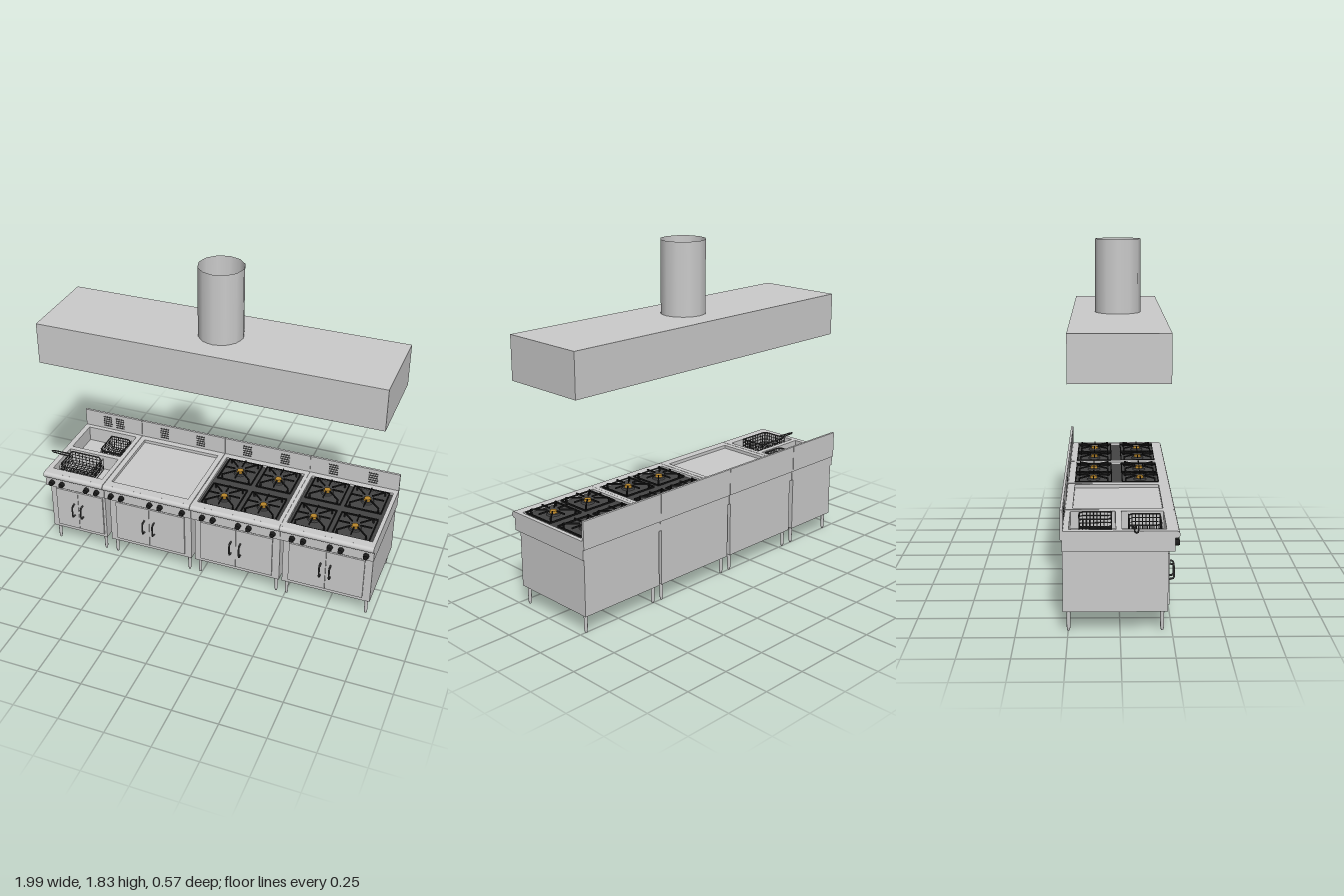
import * as THREE from 'three';

const mat = (color, side = THREE.FrontSide) => new THREE.MeshStandardMaterial({ color, side });
const steel = mat(0xcccccc);
const thinSteel = mat(0xcccccc, THREE.DoubleSide);
const black = mat(0x1a1a1a);
const iron = mat(0x444444);
const brass = mat(0xb8862b);

function add(parent, name, geometry, material, x = 0, y = 0, z = 0) {
  const mesh = new THREE.Mesh(geometry, material);
  mesh.name = name;
  mesh.position.set(x, y, z);
  parent.add(mesh);
  return mesh;
}

// Box given by its limits on each axis
function block(parent, name, x0, x1, y0, y1, z0, z1, material = steel) {
  return add(parent, name, new THREE.BoxGeometry(x1 - x0, y1 - y0, z1 - z0), material,
    (x0 + x1) / 2, (y0 + y1) / 2, (z0 + z1) / 2);
}

// Outline of a rectangle in plan, drawn with -z as the shape's y
const outline = ([x0, x1, z0, z1]) =>
  [[x0, -z1], [x1, -z1], [x1, -z0], [x0, -z0]].map(([x, y]) => new THREE.Vector2(x, y));

// Horizontal plate pierced by a list of hole paths
function plate(parent, name, limits, y0, y1, holes) {
  const shape = new THREE.Shape(outline(limits));
  shape.holes = holes;
  const g = new THREE.ExtrudeGeometry(shape, { depth: y1 - y0, bevelEnabled: false, curveSegments: 12 });
  return add(parent, name, g.rotateX(-Math.PI / 2), steel, 0, y0, 0);
}

function tube(parent, name, points, radius, material, closed = false) {
  const path = new THREE.CurvePath();
  const v = points.map(p => new THREE.Vector3(...p));
  if (closed) v.push(v[0]);
  for (let i = 1; i < v.length; i++) path.add(new THREE.LineCurve3(v[i - 1], v[i]));
  return add(parent, name, new THREE.TubeGeometry(path, (v.length - 1) * 4, radius, 6), material);
}

// Burner cap, ring and raised pan support
function burner(parent, x, z) {
  const g = new THREE.Group();
  g.name = 'burner';
  g.position.set(x, 0, z);
  add(g, 'burnerBase', new THREE.CylinderGeometry(0.032, 0.036, 0.01, 16), iron, 0, 0.495, 0);
  add(g, 'burnerCap', new THREE.CylinderGeometry(0.018, 0.022, 0.014, 16), brass, 0, 0.505, 0);
  for (let i = 0; i < 8; i++) {
    const a = i * Math.PI / 4;
    const outer = i % 2 ? 0.115 : 0.092;
    const bar = add(g, 'panSupport', new THREE.BoxGeometry(outer - 0.03, 0.008, 0.006), black,
      Math.cos(a) * (outer + 0.03) / 2, 0.516, Math.sin(a) * (outer + 0.03) / 2);
    bar.rotation.y = -a;
  }
  for (const s of [-1, 1]) {
    block(g, 'supportSide', -0.1, 0.1, 0.497, 0.505, s * 0.1 - 0.003, s * 0.1 + 0.003, black);
    block(g, 'supportSide', s * 0.1 - 0.003, s * 0.1 + 0.003, 0.497, 0.505, -0.1, 0.1, black);
    for (const t of [-1, 1])
      block(g, 'supportFoot', s * 0.08 - 0.004, s * 0.08 + 0.004, 0.49, 0.518, t * 0.08 - 0.004, t * 0.08 + 0.004, black);
  }
  parent.add(g);
}

// Wire mesh fryer basket
function basket(parent, x0, x1, z0, z1, y0, y1) {
  const g = new THREE.Group();
  g.name = 'fryerBasket';
  const r = 0.002, n = 9;
  for (let i = 0; i <= n; i++) {
    const x = x0 + (x1 - x0) * i / n, z = z0 + (z1 - z0) * i / n;
    tube(g, 'basketWire', [[x, y1, z0], [x, y0, z0], [x, y0, z1], [x, y1, z1]], r, iron);
    tube(g, 'basketWire', [[x0, y1, z], [x0, y0, z], [x1, y0, z], [x1, y1, z]], r, iron);
  }
  for (let i = 0; i <= 4; i++) {
    const y = y0 + (y1 - y0) * i / 4;
    tube(g, 'basketHoop', [[x0, y, z0], [x1, y, z0], [x1, y, z1], [x0, y, z1]], i === 4 ? 0.004 : r, iron, true);
  }
  parent.add(g);
}

// Cabinet, deck, splashback and controls shared by every appliance
function appliance(root, u) {
  const g = new THREE.Group();
  g.name = u.name;
  root.add(g);
  const [x0, x1] = u.deck, [b0, b1] = u.body;
  const holes = u.openings.map(o => new THREE.Path(outline(o)));
  block(g, 'cabinet', b0, b1, 0.1, 0.405, -0.275, 0.23);
  plate(g, 'controlPanel', [x0, x1, -0.277, 0.262], 0.405, 0.47, holes);
  plate(g, 'deck', [x0, x1, -0.277, 0.268], 0.47, 0.505, holes);
  add(g, 'deckNose', new THREE.CylinderGeometry(0.0175, 0.0175, x1 - x0, 16).rotateZ(Math.PI / 2),
    steel, (x0 + x1) / 2, 0.4875, 0.2675);
  block(g, 'splashback', x0, x1, 0.46, 0.61, -0.285, -0.272);
  for (const o of u.openings) block(g, 'panFloor', o[0], o[1], 0.406, u.floor, o[2], o[3], u.floorMaterial);

  // Vent slots in the splashback
  for (const x of u.vents)
    for (let i = 0; i < 5; i++)
      block(g, 'ventSlot', x - 0.027, x + 0.027, 0.52 + i * 0.015, 0.528 + i * 0.015, -0.273, -0.2705, iron);

  // Control knobs
  for (const x of u.knobs)
    add(g, 'knob', new THREE.CylinderGeometry(0.013, 0.016, 0.026, 16).rotateX(Math.PI / 2), black, x, 0.436, 0.273);

  // Pair of doors with bar handles
  const [d0, d1] = u.doors, mid = (u.handles[0] + u.handles[1]) / 2;
  block(g, 'door', d0, mid - 0.001, 0.122, 0.378, 0.228, 0.238);
  block(g, 'door', mid + 0.001, d1, 0.122, 0.378, 0.228, 0.238);
  for (const x of u.handles)
    tube(g, 'doorHandle', [[x, 0.212, 0.236], [x, 0.215, 0.26], [x, 0.223, 0.266], [x, 0.281, 0.266],
      [x, 0.289, 0.26], [x, 0.292, 0.236]], 0.005, iron);

  // Legs with narrow feet
  for (const x of [b0 + 0.022, b1 - 0.022])
    for (const z of [0.203, -0.248]) {
      add(g, 'leg', new THREE.CylinderGeometry(0.01, 0.009, 0.085, 12), steel, x, 0.0575, z);
      add(g, 'foot', new THREE.CylinderGeometry(0.009, 0.006, 0.016, 12), steel, x, 0.008, z);
    }
  return g;
}

function hood(root) {
  const g = new THREE.Group();
  g.name = 'extractorHood';
  root.add(g);
  const X0 = -0.925, X1 = 0.985, Z0 = -0.247, Z1 = 0.24, Y0 = 1.205, Y1 = 1.44, cx = 0.033, r = 0.122, t = 0.008;
  const hole = new THREE.Path();
  hole.absarc(cx, 0, r - 0.002, 0, Math.PI * 2, true);
  plate(g, 'hoodTop', [X0, X1, Z0, Z1], Y1 - 0.006, Y1, [hole]);
  block(g, 'hoodFront', X0, X1, Y0, Y1 - 0.006, Z1 - t, Z1);
  block(g, 'hoodBack', X0, X1, Y0, Y1 - 0.006, Z0, Z0 + t);
  block(g, 'hoodEnd', X0, X0 + t, Y0, Y1 - 0.006, Z0 + t, Z1 - t);
  block(g, 'hoodEnd', X1 - t, X1, Y0, Y1 - 0.006, Z0 + t, Z1 - t);

  // Inner lining narrowing from the rim to the duct, lofted through rectangles
  const rings = [
    [X0 + t, X1 - t, Z0 + t, Z1 - t, Y0 + 0.003],
    [X0 + 0.06, X1 - 0.06, -0.178, 0.176, 1.33],
    [cx - r, cx + r, -r, r, Y1 - 0.007],
  ].map(([a, b, c, d, y]) => [[a, y, c], [b, y, c], [b, y, d], [a, y, d]]);
  const pos = [];
  for (let k = 0; k < 2; k++)
    for (let i = 0; i < 4; i++) {
      const j = (i + 1) % 4, A = rings[k][i], B = rings[k][j], C = rings[k + 1][j], D = rings[k + 1][i];
      pos.push(...A, ...B, ...C, ...A, ...C, ...D);
    }
  const lining = new THREE.BufferGeometry();
  lining.setAttribute('position', new THREE.Float32BufferAttribute(pos, 3));
  lining.computeVertexNormals();
  add(g, 'hoodLining', lining, thinSteel);

  // Open exhaust duct
  add(g, 'exhaustDuct', new THREE.CylinderGeometry(r, r, 0.395, 12, 1, true), thinSteel, cx, 1.6345, 0);
}

export function createModel() {
  const root = new THREE.Group();
  root.name = 'kitchenCookingLine';

  const fryer = appliance(root, {
    name: 'fryer', deck: [-0.942, -0.573], body: [-0.93, -0.585], doors: [-0.895, -0.6],
    handles: [-0.783, -0.73], knobs: [-0.9, -0.837, -0.682, -0.618], vents: [-0.797, -0.717],
    openings: [[-0.91, -0.6, 0.01, 0.222], [-0.91, -0.6, -0.245, -0.02]], floor: 0.415, floorMaterial: steel,
  });
  basket(fryer, -0.88, -0.68, 0.045, 0.2, 0.435, 0.515);
  basket(fryer, -0.74, -0.61, -0.2, -0.04, 0.43, 0.505);
  tube(fryer, 'basketHandle', [[-0.88, 0.512, 0.066], [-0.995, 0.512, 0.07], [-0.995, 0.512, 0.084],
    [-0.88, 0.512, 0.09]], 0.004, iron);

  appliance(root, {
    name: 'griddle', deck: [-0.57, -0.044], body: [-0.555, -0.055], doors: [-0.515, -0.095],
    handles: [-0.34, -0.28], knobs: [-0.527, -0.463, -0.29, -0.227, -0.094], vents: [-0.425, -0.195],
    openings: [[-0.54, -0.074, -0.235, 0.222]], floor: 0.487, floorMaterial: steel,
  });

  // Two four-burner ranges
  for (const x of [-0.041, 0.476]) {
    const at = list => list.map(v => v + x);
    const range = appliance(root, {
      name: 'burnerRange', deck: at([0, 0.516]), body: at([0.008, 0.508]), doors: at([0.044, 0.466]),
      handles: at([0.226, 0.282]), knobs: at([0.067, 0.13, 0.277, 0.338, 0.475]), vents: at([0.136, 0.366]),
      openings: [[x + 0.022, x + 0.494, -0.238, 0.225]], floor: 0.49, floorMaterial: iron,
    });
    for (const bx of [0.143, 0.373]) for (const z of [0.125, -0.135]) burner(range, x + bx, z);
  }

  hood(root);
  return root;
}
